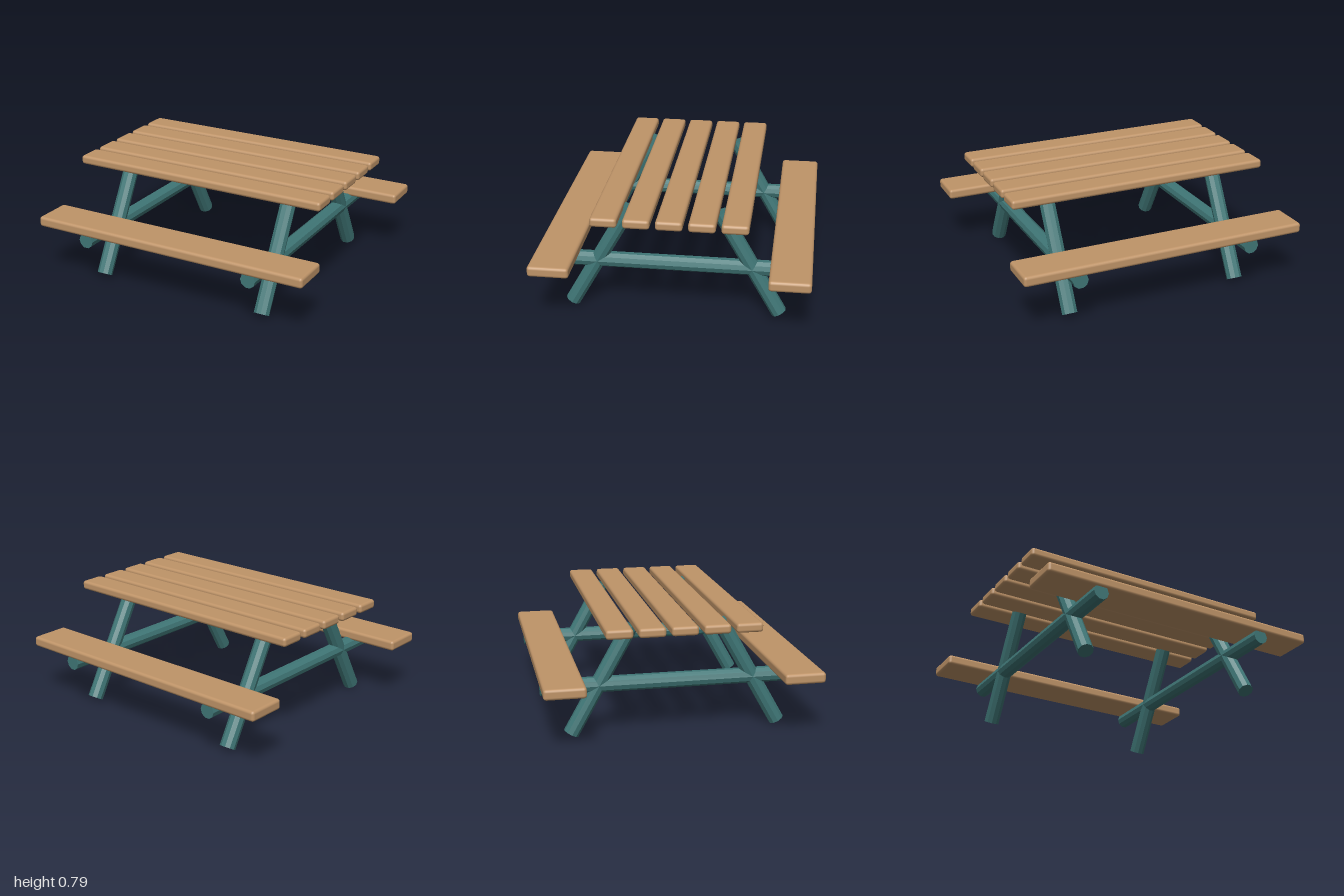
import * as THREE from 'three';
import { RoundedBoxGeometry } from 'three/addons/geometries/RoundedBoxGeometry.js';

export function createModel() {
  const model = new THREE.Group();
  model.name = 'picnicTable';
  const wood = new THREE.MeshStandardMaterial({ color: 0xbf9468 });
  const metal = new THREE.MeshStandardMaterial({ color: 0x3f7676, flatShading: true });

  // Plank along x with softened edges
  function plank(name, length, width, bottom, top, z) {
    const geo = new RoundedBoxGeometry(length, top - bottom, width, 2, 0.02);
    const mesh = new THREE.Mesh(geo, wood);
    mesh.name = name;
    mesh.position.set(0, (bottom + top) / 2, z);
    model.add(mesh);
  }

  // Ten-sided pole in the yz plane between two (z, y) points
  function pole(name, x, [z0, y0], [z1, y1]) {
    const dz = z1 - z0, dy = y1 - y0;
    const geo = new THREE.CylinderGeometry(0.053, 0.053, Math.hypot(dz, dy), 10);
    geo.rotateY(Math.PI / 2);
    const mesh = new THREE.Mesh(geo, metal);
    mesh.name = name;
    mesh.position.set(x, (y0 + y1) / 2, (z0 + z1) / 2);
    mesh.rotation.x = Math.atan2(dz, dy);
    model.add(mesh);
  }

  // Table top: five spaced boards
  for (let i = -2; i <= 2; i++) plank('tableBoard', 1.84, 0.175, 0.73, 0.793, i * 0.21);

  // Bench seats, front and back
  for (const s of [1, -1]) plank(s > 0 ? 'frontSeat' : 'backSeat', 2, 0.273, 0.387, 0.459, s * 0.777);

  // Two A-frames: a crossbar and two splayed legs each
  for (const x of [0.62, -0.62]) {
    const side = x > 0 ? 'left' : 'right';
    pole(side + 'Crossbar', x, [-0.9, 0.353], [0.9, 0.353]);
    for (const s of [1, -1]) {
      pole(side + (s > 0 ? 'FrontLeg' : 'BackLeg'), x, [s * 0.703, 0.026], [s * 0.299, 0.744]);
    }
  }
  return model;
}
